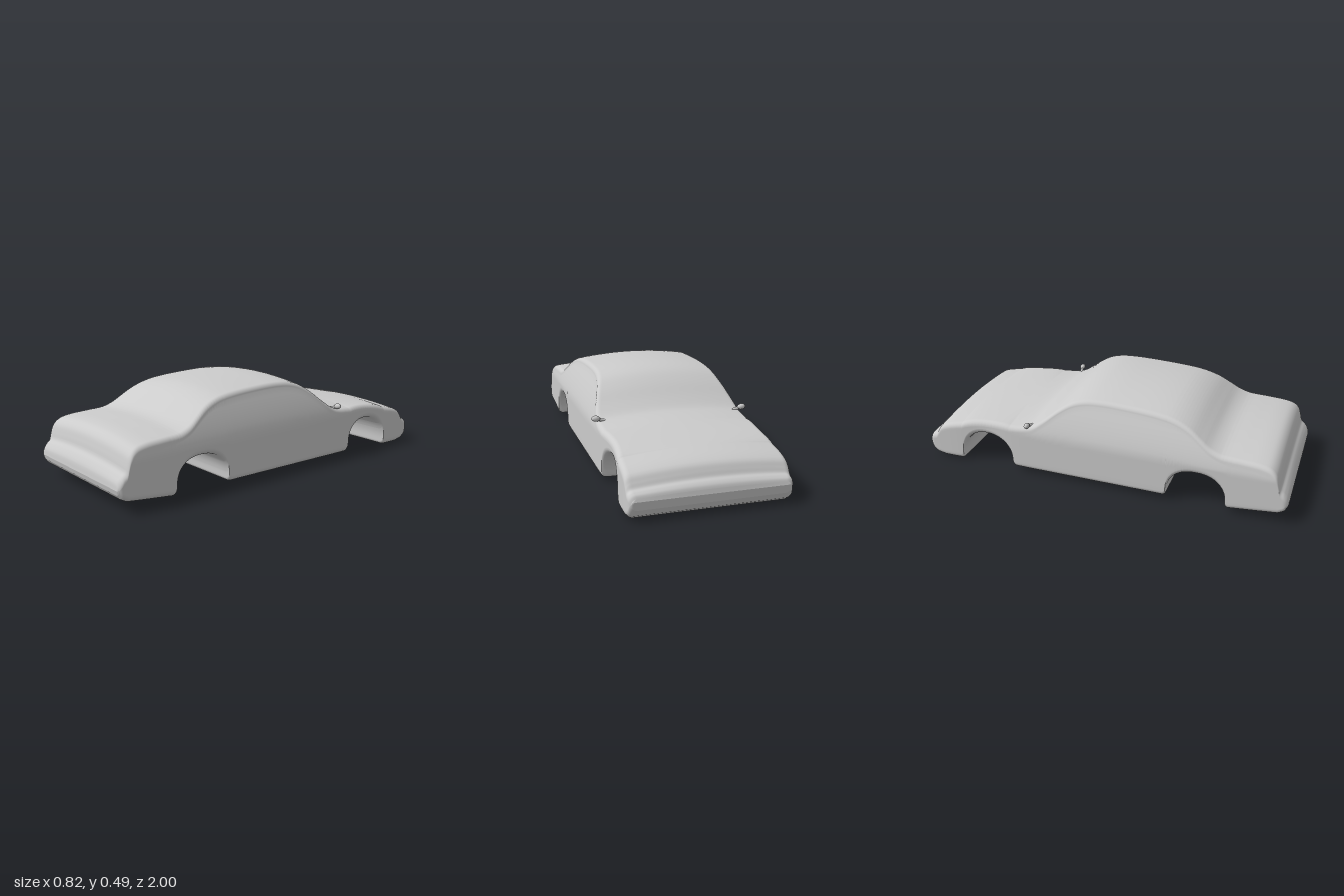
import * as THREE from 'three';

const material = new THREE.MeshStandardMaterial({ color: 0xcccccc });
const clamp01 = (v) => Math.min(1, Math.max(0, v));

// Side profile as [z, y], from the bonnet end to the boot end
const TOP = [
  [-1, 0.1], [-0.99, 0.135], [-0.975, 0.15], [-0.955, 0.16], [-0.94, 0.185], [-0.92, 0.213],
  [-0.88, 0.233], [-0.8, 0.252], [-0.7, 0.269], [-0.6, 0.281], [-0.5, 0.291], [-0.4, 0.302],
  [-0.36, 0.314], [-0.3, 0.355], [-0.22, 0.42], [-0.15, 0.463], [-0.08, 0.483], [0, 0.49],
  [0.1, 0.49], [0.3, 0.48], [0.4, 0.465], [0.48, 0.435], [0.55, 0.39], [0.6, 0.357],
  [0.65, 0.341], [0.75, 0.335], [0.85, 0.328], [0.9, 0.315], [0.93, 0.287], [0.945, 0.245],
  [0.955, 0.208], [0.975, 0.185], [0.993, 0.155], [1, 0.115],
];
const BASE = [
  [-1, 0.1], [-0.995, 0.06], [-0.98, 0.03], [-0.955, 0.012], [-0.91, 0.003], [-0.78, 0.002],
  [-0.6, 0.015], [-0.47, 0.02], [0.38, 0.027], [0.7, 0.025], [0.85, 0.042], [0.95, 0.054],
  [0.98, 0.07], [0.994, 0.09], [1, 0.115],
];
const ARCHES = [{ z: -0.637, r: 0.155, top: 0.187 }, { z: 0.535, r: 0.155, top: 0.195 }];
const FILLET = 0.02;

function smooth(points) {
  const curve = new THREE.CatmullRomCurve3(points.map(([z, y]) => new THREE.Vector3(z, y, 0)));
  return curve.getPoints((points.length - 1) * 5).map((p) => [p.x, p.y]);
}

function lookup(points, z) {
  let i = 1;
  while (i < points.length - 1 && points[i][0] < z) i++;
  const [z0, y0] = points[i - 1];
  const [z1, y1] = points[i];
  return y0 + (y1 - y0) * clamp01((z - z0) / Math.max(1e-6, z1 - z0));
}

// Underside height: base line with two rounded wheel arches cut across it
function bottomAt(z) {
  let y = lookup(BASE, z);
  for (const a of ARCHES) {
    const d = Math.abs(z - a.z) - a.r;
    if (d >= FILLET) continue;
    if (d > 0) {
      y += FILLET - Math.sqrt(FILLET ** 2 - (FILLET - d) ** 2);
    } else {
      const u = Math.abs(z - a.z) / a.r;
      const start = y + FILLET;
      y = start + (a.top - start) * Math.pow(Math.max(0, 1 - u ** 2.3), 1 / 2.3);
    }
  }
  return y;
}

// Half width: rounded at the bumpers, waisted over the front arch, leaning in at the windows
function widthAt(y, z) {
  const e = clamp01((Math.abs(z) - 0.97) / 0.03);
  const end = 0.025 * (1 - Math.sqrt(1 - e * e));
  const waist = 0.014 * Math.exp(-(((z + 0.66) / 0.13) ** 2));
  const lean = 0.085 * Math.pow(clamp01((y - 0.24) / 0.22), 1.3);
  return 0.389 - end - waist - lean;
}

// One closed cross-section, counter-clockwise from the bottom centre
function section(z, yb, yt) {
  const h = Math.max(0, yt - yb);
  const edge = yt - Math.min(0.022, h * 0.12);
  const r = Math.min(0.03, (edge - yb) / 2);
  const half = [];
  const wb = widthAt(yb + r, z) - r;
  const wt = widthAt(edge - r, z) - r;
  for (let i = 0; i < 5; i++) half.push([(wb * i) / 5, yb]);
  for (let i = 0; i < 6; i++) {
    const t = (i / 6) * Math.PI / 2;
    half.push([wb + r * Math.sin(t), yb + r - r * Math.cos(t)]);
  }
  for (let i = 0; i < 14; i++) {
    const y = yb + r + ((edge - yb - 2 * r) * i) / 14;
    half.push([widthAt(y, z), y]);
  }
  for (let i = 0; i < 6; i++) {
    const t = (i / 6) * Math.PI / 2;
    half.push([wt + r * Math.cos(t), edge - r + r * Math.sin(t)]);
  }
  for (let i = 0; i <= 8; i++) {
    const s = 1 - i / 8;
    half.push([wt * s, yt - (yt - edge) * s * s]);
  }
  const mirrored = half.slice(1, -1).reverse().map(([x, y]) => [-x, y]);
  return half.concat(mirrored);
}

function buildBody() {
  const top = smooth(TOP);
  // Stations along the length, denser round the arches and ends
  const stations = [...top.map((p) => p[0]), ...BASE.map((p) => p[0])];
  for (const a of ARCHES) {
    for (let i = -20; i <= 20; i++) stations.push(a.z + a.r * Math.sin((i / 40) * Math.PI));
    for (let i = 1; i <= 6; i++) {
      const d = FILLET * (1 - Math.cos((i / 12) * Math.PI));
      stations.push(a.z - a.r - d, a.z + a.r + d);
    }
  }
  const zs = stations.map((z) => Math.max(-1, Math.min(1, z))).sort((a, b) => a - b)
    .filter((z, i, all) => i === 0 || z - all[i - 1] > 1e-5);

  const positions = [];
  const index = [];
  let n = 0;
  zs.forEach((z) => {
    const ring = section(z, bottomAt(z), lookup(top, z));
    n = ring.length;
    ring.forEach(([x, y]) => positions.push(x, y, z));
  });
  for (let i = 0; i < zs.length - 1; i++) {
    for (let j = 0; j < n; j++) {
      const a = i * n + j;
      const b = i * n + ((j + 1) % n);
      index.push(a, b, a + n, b, b + n, a + n);
    }
  }
  const geometry = new THREE.BufferGeometry();
  geometry.setAttribute('position', new THREE.Float32BufferAttribute(positions, 3));
  geometry.setIndex(index);
  geometry.computeVertexNormals();
  const body = new THREE.Mesh(geometry, material);
  body.name = 'carBody';
  return body;
}

// Door mirror: small pod on a short stalk
function buildMirror(side) {
  const mirror = new THREE.Group();
  mirror.name = side > 0 ? 'leftMirror' : 'rightMirror';
  const pod = new THREE.Mesh(new THREE.SphereGeometry(1, 20, 14), material);
  pod.name = 'mirrorPod';
  pod.scale.set(0.022, 0.015, 0.014);
  pod.position.set(side * 0.388, 0.298, -0.383);
  pod.rotation.z = side * 0.1;
  const path = new THREE.CatmullRomCurve3([
    new THREE.Vector3(side * 0.34, 0.283, -0.375),
    new THREE.Vector3(side * 0.362, 0.288, -0.379),
    new THREE.Vector3(side * 0.385, 0.297, -0.383),
  ]);
  const stalk = new THREE.Mesh(new THREE.TubeGeometry(path, 8, 0.008, 8), material);
  stalk.name = 'mirrorStalk';
  mirror.add(pod, stalk);
  return mirror;
}

export function createModel() {
  const car = new THREE.Group();
  car.name = 'carShell';
  car.add(buildBody(), buildMirror(1), buildMirror(-1));
  return car;
}
